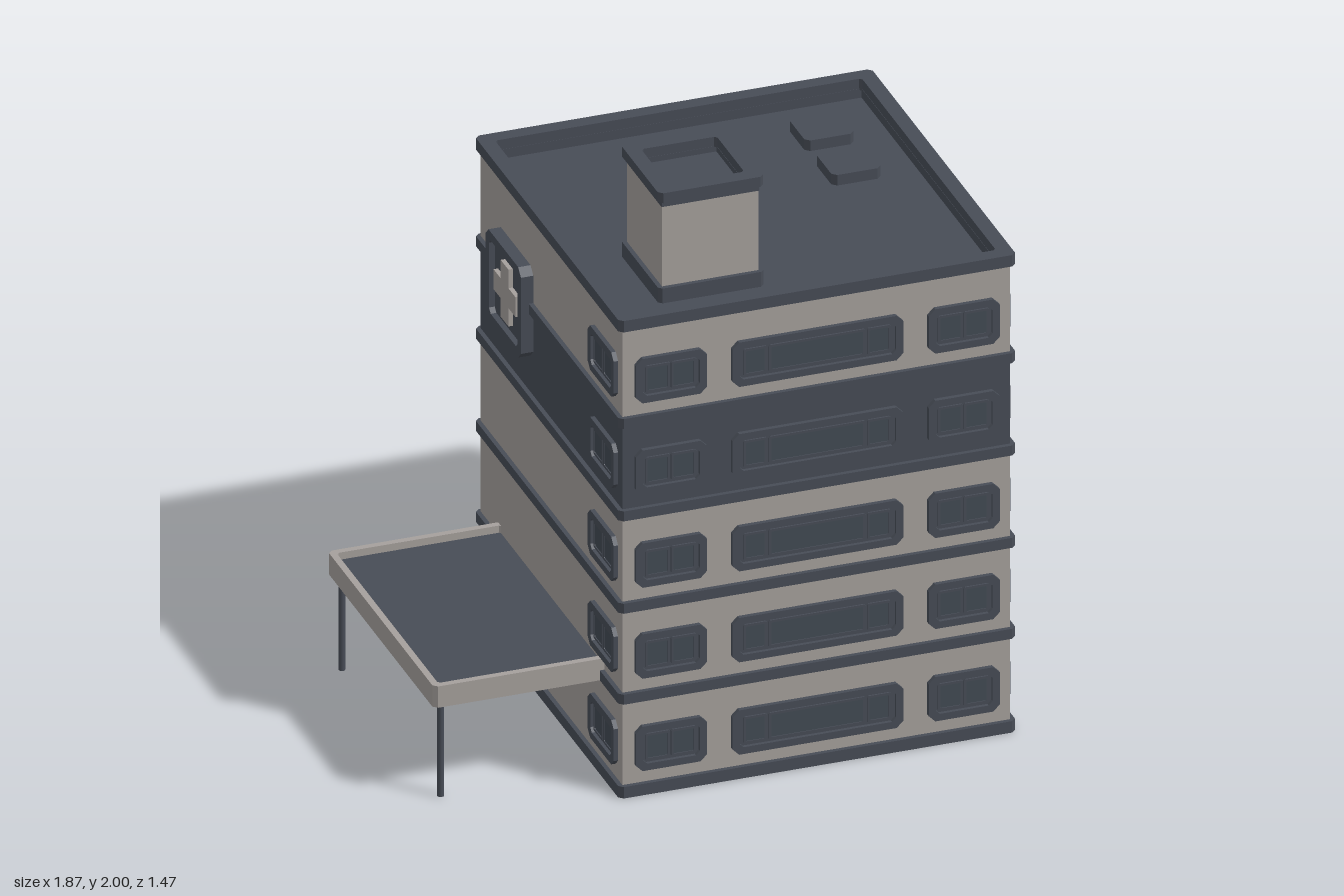
import * as THREE from 'three';

const flat = (name, color) => {
  const m = new THREE.MeshStandardMaterial({ color });
  m.name = name;
  return m;
};

// Rectangle with cut corners, as a shape or a hole path
function cutRect(w, h, c, Type = THREE.Shape) {
  const a = w / 2, b = h / 2;
  const pts = [[-a + c, -b], [a - c, -b], [a, -b + c], [a, b - c], [a - c, b], [-a + c, b], [-a, b - c], [-a, -b + c]];
  return new Type(pts.map(p => new THREE.Vector2(p[0], p[1])));
}

// Upright plate from z = 0 to z = d; t > 0 leaves only a rim of that width
function plateGeo(w, h, d, c = 0.004, t = 0) {
  const s = cutRect(w, h, c);
  if (t) s.holes.push(cutRect(w - 2 * t, h - 2 * t, c * 0.6, THREE.Path));
  return new THREE.ExtrudeGeometry(s, { depth: d, bevelEnabled: false });
}

export function createModel() {
  const pale = flat('pale wall', 0xa5a09c);
  const dark = flat('slate', 0x474c56);
  const glass = flat('dark glass', 0x424a53);
  const model = new THREE.Group();
  model.name = 'building';

  const add = (parent, name, geo, mat, x = 0, y = 0, z = 0) => {
    const m = new THREE.Mesh(geo, mat);
    m.name = name;
    m.position.set(x, y, z);
    parent.add(m);
    return m;
  };
  // Horizontal slab, or a rim of width t, between two corners
  const slab = (name, mat, x0, x1, z0, z1, y0, y1, c = 0, t = 0) => {
    const g = plateGeo(x1 - x0, z1 - z0, y1 - y0, c || 0.0005, t).rotateX(-Math.PI / 2);
    return add(model, name, g, mat, (x0 + x1) / 2, y0, (z0 + z1) / 2);
  };

  const X0 = -0.37, X1 = 0.915, Z0 = -0.572, Z1 = 0.717;
  const CX = (X0 + X1) / 2, CZ = (Z0 + Z1) / 2;
  const bandY = [[0, 0.04], [0.33, 0.365], [0.65, 0.685], [0.975, 1.01], [1.3, 1.335], [1.64, 1.68]];
  const ROOF = 1.61;

  // Storeys and the bands between them
  for (let i = 0; i < 5; i++) {
    const top = i === 4 ? ROOF : bandY[i + 1][0];
    slab('storey', i === 3 ? dark : pale, X0, X1, Z0, Z1, bandY[i][1], top);
    slab('band', dark, X0 - 0.015, X1 + 0.015, Z0 - 0.015, Z1 + 0.015, ...bandY[i], 0.014);
  }

  // Roof deck and parapet
  slab('roofDeck', dark, X0 + 0.02, X1 - 0.02, Z0 + 0.02, Z1 - 0.02, ROOF - 0.01, ROOF + 0.003);
  slab('parapetWall', pale, X0, X1, Z0, Z1, ROOF, 1.64, 0, 0.015);
  slab('parapetLining', dark, X0 + 0.014, X1 - 0.014, Z0 + 0.014, Z1 - 0.014, ROOF, 1.645, 0, 0.022);
  slab('parapetCap', dark, X0 - 0.015, X1 + 0.015, Z0 - 0.015, Z1 + 0.015, ...bandY[5], 0.014, 0.05);

  // Roof hatches
  for (const z of [-0.335, -0.09])
    slab('roofHatch', dark, 0.592, 0.755, z - 0.08, z + 0.08, ROOF, 1.65, 0.015);

  // Stair house with base, hollow cap and door
  slab('stairHouse', pale, -0.17, 0.15, 0.208, 0.528, ROOF, 1.945);
  slab('stairHouseBase', dark, -0.185, 0.165, 0.193, 0.543, ROOF, 1.665, 0.012);
  slab('stairHouseCollar', dark, -0.172, 0.152, 0.206, 0.53, 1.945, 1.967, 0, 0.038);
  slab('stairHouseDeck', dark, -0.15, 0.13, 0.228, 0.508, 1.93, 1.948);
  slab('stairHouseCap', dark, -0.185, 0.165, 0.193, 0.543, 1.965, 2, 0.014, 0.05);
  const roofDoor = new THREE.Group();
  roofDoor.name = 'roofDoor';
  roofDoor.position.set(-0.01, 1.735, 0.209);
  roofDoor.rotation.y = Math.PI;
  add(roofDoor, 'roofDoorFrame', plateGeo(0.18, 0.25, 0.018, 0.022, 0.025), dark);
  add(roofDoor, 'roofDoorLeaf', plateGeo(0.15, 0.22, 0.008), dark);
  add(roofDoor, 'roofDoorHandle', new THREE.BoxGeometry(0.014, 0.014, 0.02), dark, 0.04, -0.01, 0.014);
  model.add(roofDoor);

  // Window: raised cut-corner frame, back panel and a row of sashes [centre, width]
  const makeWindow = (w, sashes) => {
    const g = new THREE.Group();
    g.name = 'window';
    add(g, 'windowFrame', plateGeo(w, 0.156, 0.015, 0.022, 0.024), dark);
    add(g, 'windowPanel', plateGeo(w - 0.03, 0.126, 0.003, 0.01), dark);
    for (const [x, sw] of sashes) {
      add(g, 'windowSash', plateGeo(sw, 0.094, 0.008, 0.004, 0.008), dark, x);
      add(g, 'windowPane', plateGeo(sw - 0.01, 0.084, 0.005), glass, x);
    }
    return g;
  };
  const smallSashes = [[-0.043, 0.083], [0.043, 0.083]];
  const wideSashes = [[-0.205, 0.078], [0, 0.32], [0.205, 0.078]];
  const place = (g, x, y, z, turn) => {
    g.position.set(x, y, z);
    g.rotation.y = turn;
    model.add(g);
  };
  [0.163, 0.488, 0.808, 1.135, 1.457].forEach((y, floor) => {
    for (const [z, turn] of [[Z1, 0], [Z0, Math.PI]]) {
      for (const s of [-1, 1]) place(makeWindow(0.236, smallSashes), CX + s * 0.485, y, z, turn);
      if (floor > 0 || turn === 0) place(makeWindow(0.566, wideSashes), CX, y, z, turn);
    }
    place(makeWindow(0.236, smallSashes), X1, y, 0.56, Math.PI / 2);
    place(makeWindow(0.236, smallSashes), X0, y, 0.56, -Math.PI / 2);
  });

  // Back entrance: surround, double doors and side lights
  const entrance = new THREE.Group();
  entrance.name = 'entrance';
  add(entrance, 'entranceSurround', plateGeo(0.5, 0.255, 0.022, 0.004, 0.022), dark, 0, 0.1275);
  add(entrance, 'entrancePanel', plateGeo(0.48, 0.24, 0.016), glass, 0, 0.124);
  for (const [x, w] of [[-0.18, 0.09], [-0.066, 0.126], [0.066, 0.126], [0.18, 0.09]])
    add(entrance, 'entranceLeaf', plateGeo(w, 0.215, 0.021, 0.004, 0.012), dark, x, 0.118);
  for (const s of [-1, 1])
    add(entrance, 'entranceHandle', new THREE.BoxGeometry(0.006, 0.06, 0.01), dark, s * 0.014, 0.115, 0.025);
  place(entrance, CX, 0, Z0, Math.PI);

  // Canopies: pale rim, dark deck and thin posts
  const canopy = (x0, x1, z0, z1, y0, y1, posts) => {
    slab('canopyRim', pale, x0, x1, z0, z1, y0, y1, 0.014, 0.022);
    slab('canopyDeck', dark, x0 + 0.012, x1 - 0.012, z0 + 0.012, z1 - 0.012, y0 - 0.002, y1 - 0.025);
    for (const [x, z] of posts)
      add(model, 'canopyPost', new THREE.CylinderGeometry(0.011, 0.011, y0, 8), dark, x, y0 / 2, z);
  };
  canopy(-0.935, -0.345, -0.413, 0.553, 0.33, 0.405, [[-0.9, -0.378], [-0.9, 0.518]]);
  canopy(-0.01, 0.555, -0.735, -0.545, 0.25, 0.325, [[0.023, -0.697], [0.522, -0.697]]);

  // Wall sign with a plain cross
  const sign = new THREE.Group();
  sign.name = 'wallSign';
  add(sign, 'signFrame', plateGeo(0.32, 0.318, 0.041, 0.025, 0.03), dark);
  add(sign, 'signPanel', plateGeo(0.28, 0.28, 0.022), dark);
  const a = 0.035, b = 0.1;
  const cross = new THREE.Shape([[-a, -b], [a, -b], [a, -a], [b, -a], [b, a], [a, a], [a, b], [-a, b], [-a, a], [-b, a], [-b, -a], [-a, -a]]
    .map(p => new THREE.Vector2(p[0], p[1])));
  add(sign, 'signCross', new THREE.ExtrudeGeometry(cross, { depth: 0.015, bevelEnabled: false }), pale, 0, 0, 0.022);
  place(sign, X0, 1.297, -0.253, -Math.PI / 2);

  // Small side vent
  const vent = new THREE.Group();
  vent.name = 'sideVent';
  add(vent, 'ventPlate', plateGeo(0.152, 0.044, 0.005, 0.01), dark);
  place(vent, X1, 0.234, -0.154, Math.PI / 2);

  return model;
}
